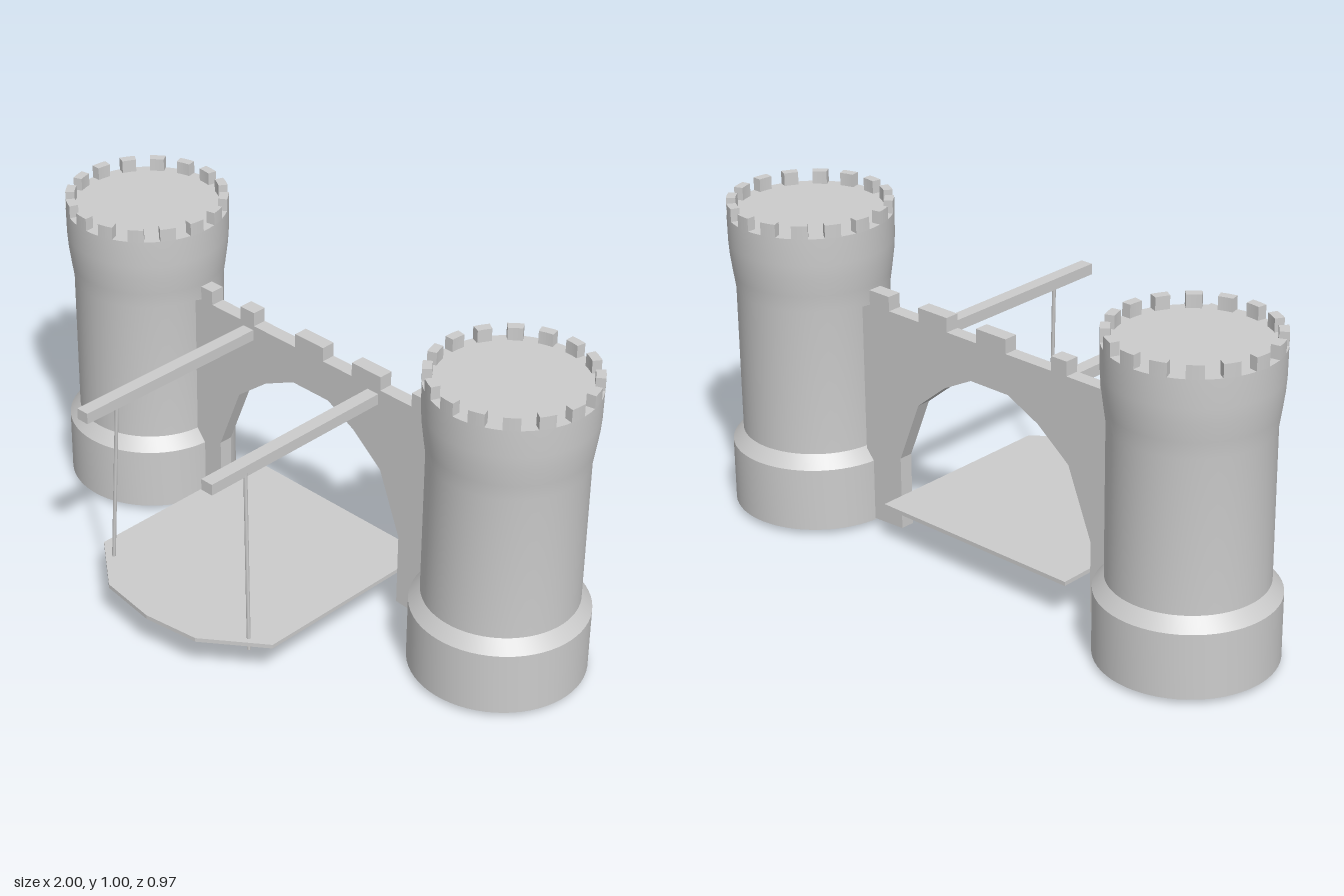
import * as THREE from 'three';
import { toCreasedNormals } from 'three/addons/utils/BufferGeometryUtils.js';

const material = new THREE.MeshStandardMaterial({ color: 0xcccccc });

function part(name, geometry, parent) {
  const mesh = new THREE.Mesh(geometry, material);
  mesh.name = name;
  parent.add(mesh);
  return mesh;
}

const shapeOf = (points) => new THREE.Shape(points.map(([x, y]) => new THREE.Vector2(x, y)));
const slab = (shape, depth) =>
  new THREE.ExtrudeGeometry(shape, { depth, bevelEnabled: false, curveSegments: 3 });

// Round tower: plinth, chamfer, shaft and flared head under a ring of merlons
function createTower(name) {
  const tower = new THREE.Group();
  tower.name = name;
  const profile = [
    [0, 0.015], [0.265, 0.015], [0.265, 0.215], [0.232, 0.255], [0.232, 0.72],
    [0.239, 0.77], [0.246, 0.825], [0.249, 0.87], [0.25, 0.955], [0, 0.955],
  ].map(([r, y]) => new THREE.Vector2(r, y));
  part('towerBody', toCreasedNormals(new THREE.LatheGeometry(profile, 64), 0.5), tower);

  const count = 16, step = (Math.PI * 2) / count, half = step / 4;
  const sector = new THREE.Shape();
  sector.absarc(0, 0, 0.25, -half, half, false);
  sector.absarc(0, 0, 0.222, half, -half, true);
  const merlon = slab(sector, 0.041).rotateX(-Math.PI / 2);
  for (let i = 0; i < count; i++) {
    const m = part('towerMerlon', merlon, tower);
    m.position.y = 0.954;
    m.rotation.y = -(i + 0.25) * step;
  }
  return tower;
}

export function createModel() {
  const model = new THREE.Group();
  model.name = 'castleGate';

  for (const side of [-1, 1]) {
    const tower = createTower(side > 0 ? 'leftTower' : 'rightTower');
    tower.position.set(side * 0.735, 0, -0.221);
    model.add(tower);
  }

  // Gate wall: faceted arch below, battlements along the top
  const outline = [
    [-0.51, 0], [-0.4, 0.02], [-0.4, 0.245], [-0.315, 0.46], [-0.2, 0.55],
    [-0.085, 0.605], [0.06, 0.605], [0.165, 0.55], [0.275, 0.46], [0.355, 0.26],
    [0.355, 0.025], [0.5, 0.018], [0.5, 0.713],
  ];
  const merlons = [[0.468, 0.388], [0.267, 0.153], [0.037, -0.077], [-0.25, -0.307], [-0.43, -0.478]];
  for (const [a, b] of merlons) outline.push([a, 0.73], [a, 0.775], [b, 0.775], [b, 0.73]);
  outline.push([-0.51, 0.713]);
  part('gateWall', slab(shapeOf(outline), 0.045), model).position.z = -0.245;

  // Drawbridge deck with a blunt, faceted front edge
  const deck = shapeOf([
    [-0.372, -0.322], [0.35, -0.322], [0.35, 0.32], [0.17, 0.455],
    [-0.01, 0.48], [-0.2, 0.455], [-0.372, 0.32],
  ]);
  const deckMesh = part('drawbridge', slab(deck, 0.013), model);
  deckMesh.rotation.x = Math.PI / 2;
  deckMesh.position.y = 0.138;

  // Lifting beams and the chains that hang from them
  for (const [x, top, bottom] of [[-0.274, -0.275, -0.3], [0.238, 0.254, 0.28]]) {
    part('liftingBeam', new THREE.BoxGeometry(0.042, 0.035, 0.675), model)
      .position.set(x, 0.6975, 0.1275);
    const path = new THREE.LineCurve3(
      new THREE.Vector3(top, 0.69, 0.332), new THREE.Vector3(bottom, 0.1, 0.347));
    part('chain', new THREE.TubeGeometry(path, 1, 0.006, 6), model);
  }
  return model;
}
